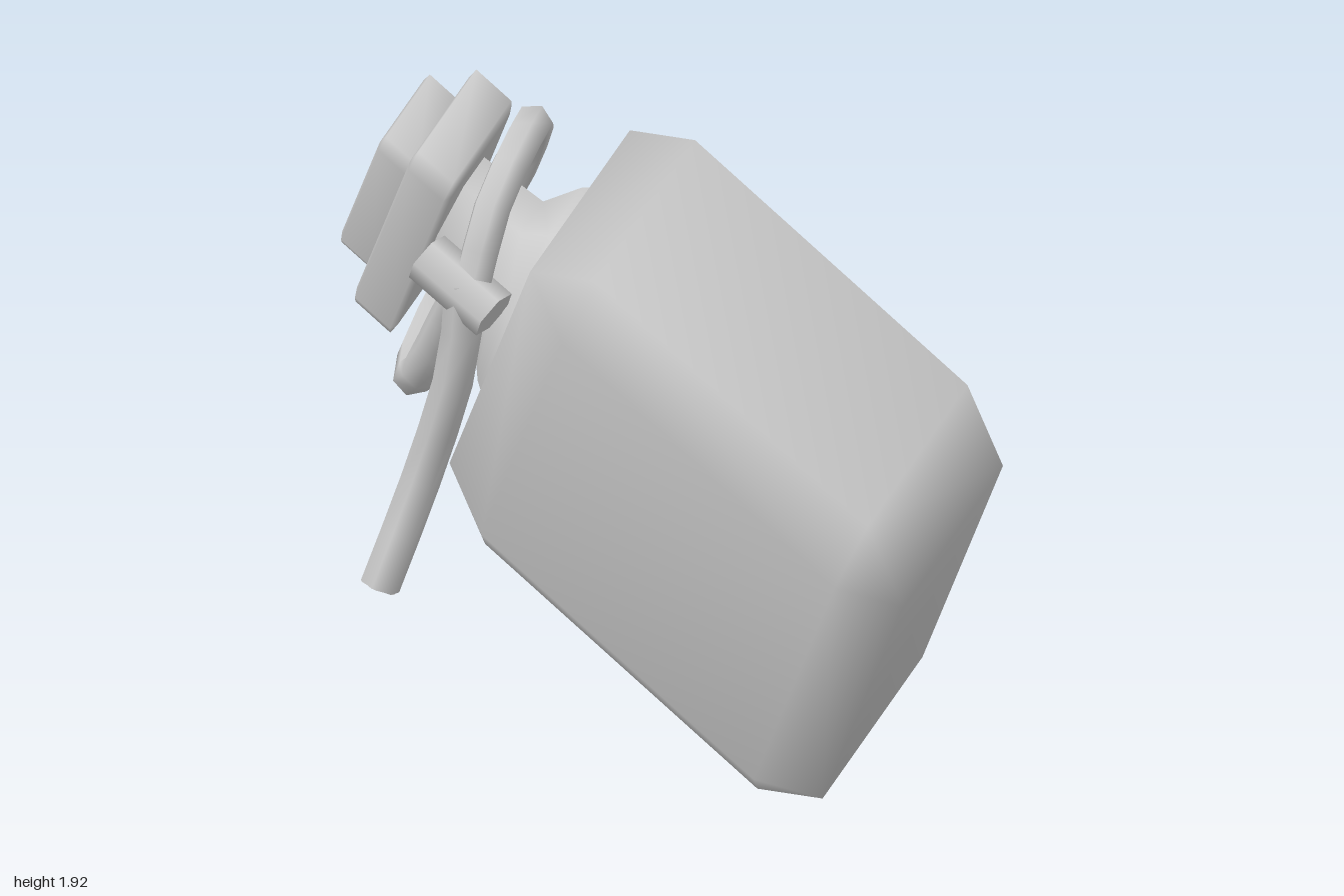
import * as THREE from 'three';
import { ConvexGeometry } from 'three/addons/geometries/ConvexGeometry.js';
import { mergeVertices } from 'three/addons/utils/BufferGeometryUtils.js';

// Half-size axes of the leaning body: U runs from mouth to base, V and W across
const O = new THREE.Vector3(0.17, 0.93, 0);
const U = new THREE.Vector3(0.52, -0.435, -0.115);
const V = new THREE.Vector3(0.23, 0.445, 0.105);
const W = new THREE.Vector3(0.01, -0.16, 0.408);
const at = (u, v, w) => O.clone().addScaledVector(U, u).addScaledVector(V, v).addScaledVector(W, w);

const material = new THREE.MeshStandardMaterial({ color: 0xcccccc, side: THREE.DoubleSide });

function add(group, name, geometry) {
  const mesh = new THREE.Mesh(geometry, material);
  mesh.name = name;
  group.add(mesh);
  return mesh;
}

function smooth(geometry) {
  geometry.deleteAttribute('normal');
  geometry.deleteAttribute('uv');
  const merged = mergeVertices(geometry, 1e-4);
  merged.computeVertexNormals();
  return merged;
}

// Bevelled block along the leaning axes, centred at u = k
function block(k, su, sv, sw, inset = 0.73) {
  const points = [];
  for (const i of [-1, 1]) for (const j of [-1, 1]) for (const l of [-1, 1]) {
    for (let face = 0; face < 3; face++) {
      const c = [i, j, l].map((s, n) => (n === face ? s : s * inset));
      points.push(at(k + c[0] * su, c[1] * sv, c[2] * sw));
    }
  }
  return smooth(new ConvexGeometry(points));
}

// Tapered neck with an eight-sided section, given as [u, size] steps
function neckGeometry() {
  const steps = [[-0.92, 0.72], [-1.04, 0.6], [-1.16, 0.4], [-1.5, 0.36]];
  const positions = [], index = [];
  for (const [u, s] of steps) {
    for (let i = 0; i < 8; i++) {
      const a = (i + 0.5) * Math.PI / 4;
      const p = at(u, Math.cos(a) * s * 1.08, Math.sin(a) * s * 1.08);
      positions.push(p.x, p.y, p.z);
    }
  }
  for (let r = 0; r < steps.length - 1; r++) {
    for (let i = 0; i < 8; i++) {
      const a = r * 8 + i, b = r * 8 + (i + 1) % 8;
      index.push(a, a + 8, b, b, a + 8, b + 8);
    }
  }
  const g = new THREE.BufferGeometry();
  g.setAttribute('position', new THREE.Float32BufferAttribute(positions, 3));
  g.setIndex(index);
  // The axes are left-handed in this order, so check the winding against the outside
  g.computeVertexNormals();
  const n = new THREE.Vector3().fromBufferAttribute(g.attributes.normal, 24);
  const out = new THREE.Vector3().fromBufferAttribute(g.attributes.position, 24).sub(at(-1.5, 0, 0));
  if (n.dot(out) < 0) {
    g.setIndex(index.map((_, i) => index[i - (i % 3) + 2 - (i % 3)]));
    g.computeVertexNormals();
  }
  return g;
}

// Capped cord through a few points
function cord(group, name, points, segments, radius) {
  const path = new THREE.CatmullRomCurve3(points.map(p => new THREE.Vector3(...p)));
  add(group, name, new THREE.TubeGeometry(path, segments, radius, 6));
  for (const t of [0, 1]) {
    const cap = add(group, name + 'End', new THREE.CircleGeometry(radius, 6));
    cap.position.copy(path.getPoint(t));
    const dir = path.getTangent(t).multiplyScalar(t ? 1 : -1);
    cap.quaternion.setFromUnitVectors(new THREE.Vector3(0, 0, 1), dir);
  }
}

export function createModel() {
  const model = new THREE.Group();
  model.name = 'corkedFlask';

  // Flask
  add(model, 'body', block(0, 1, 1, 1));
  add(model, 'neck', neckGeometry());

  // Stopper in two layers
  add(model, 'lip', block(-1.57, 0.11, 0.57, 0.5, 0.85));
  add(model, 'stopper', block(-1.74, 0.1, 0.4, 0.38, 0.85));

  // Cord looped around the neck, with a hanging tail
  const rope = new THREE.Group();
  rope.name = 'rope';
  model.add(rope);
  cord(rope, 'neckLoop', [
    [-0.39, 1.46, 0.44], [-0.36, 1.7, 0.36], [-0.36, 1.83, 0.2], [-0.43, 1.82, 0.0],
    [-0.58, 1.6, -0.16], [-0.72, 1.32, -0.09], [-0.74, 1.14, 0.1],
    [-0.66, 1.12, 0.26], [-0.43, 1.45, 0.42],
  ], 18, 0.056);
  cord(rope, 'tail', [
    [-0.4, 1.5, 0.45], [-0.44, 1.25, 0.42], [-0.56, 0.9, 0.4], [-0.66, 0.58, 0.46],
  ], 6, 0.056);

  // Knot wrapped across the cords
  const knot = add(rope, 'knot', new THREE.CylinderGeometry(0.075, 0.075, 0.25, 6, 1));
  knot.position.set(-0.42, 1.48, 0.44);
  knot.rotation.z = 1.0;
  return model;
}
